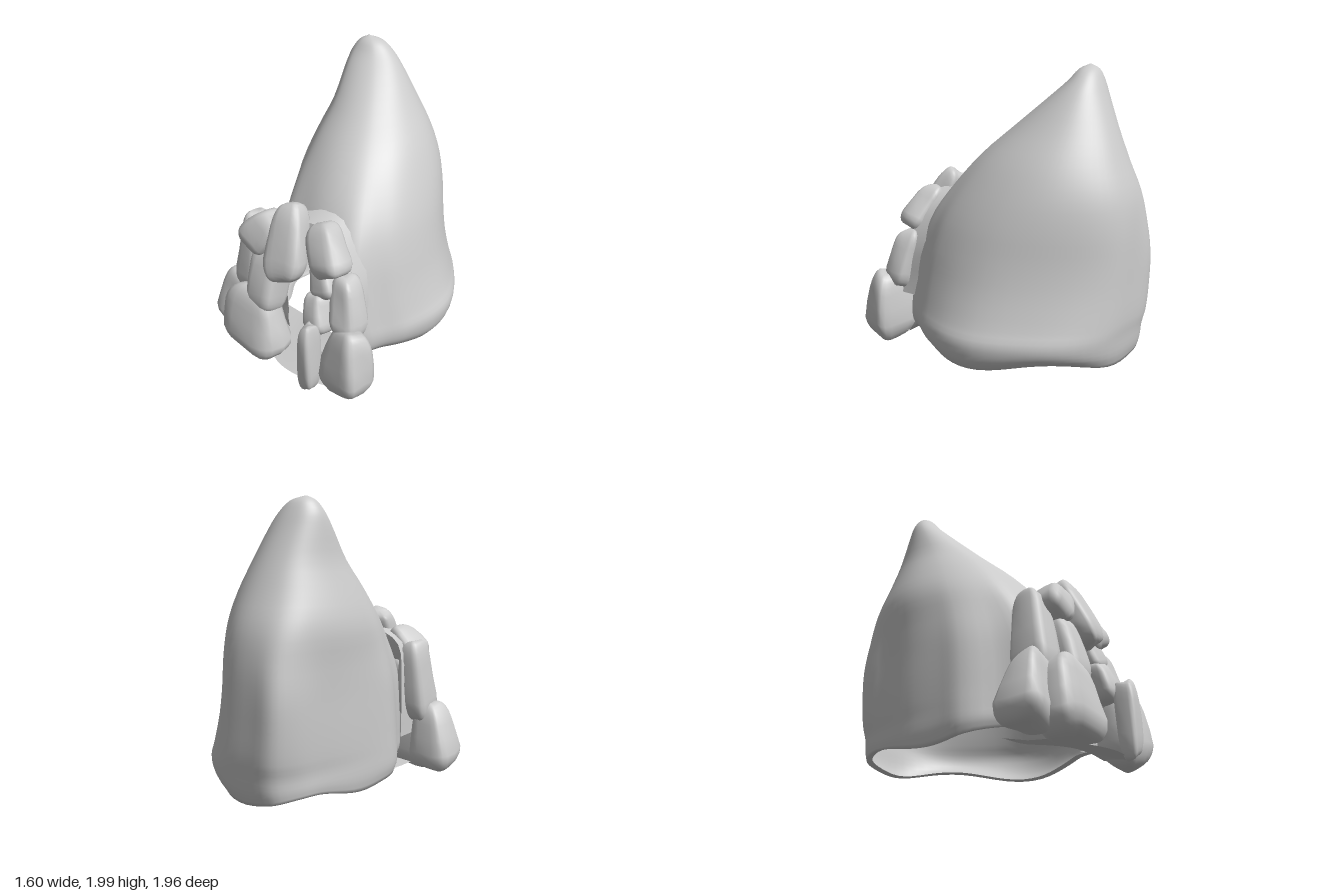
import * as THREE from 'three';
import { mergeVertices } from 'three/addons/utils/BufferGeometryUtils.js';

const stone = new THREE.MeshStandardMaterial({ color: 0xcccccc, side: THREE.DoubleSide });

function addMesh(group, name, geometry) {
  geometry.computeVertexNormals();
  const mesh = new THREE.Mesh(geometry, stone);
  mesh.name = name;
  group.add(mesh);
  return mesh;
}

// Smooth run of points through a few given ones
const path = (pts, n = 24, closed = false) =>
  new THREE.CatmullRomCurve3(pts.map(p => new THREE.Vector3(...p)), closed).getPoints(n);

// Surface through rows of points; keep(centre) decides which quads stay
function loft(rows, closed, keep = () => true) {
  const n = rows[0].length, index = [];
  for (let r = 0; r < rows.length - 1; r++) {
    for (let i = 0; i < (closed ? n : n - 1); i++) {
      const j = (i + 1) % n;
      const c = rows[r][i].clone().add(rows[r + 1][j]).multiplyScalar(0.5);
      if (!keep(c)) continue;
      const a = r * n + i, b = r * n + j;
      index.push(a, a + n, b, b, a + n, b + n);
    }
  }
  const g = new THREE.BufferGeometry().setFromPoints(rows.flat());
  g.setIndex(index);
  return g;
}

// Hollow leaning mound: plan outline fitted to the bounds of each level
function moundGeometry() {
  const plan = [[0, -0.98], [0.18, -0.95], [0.42, -0.87], [0.6, -0.68], [0.73, -0.42], [0.79, -0.1],
    [0.75, 0.15], [0.63, 0.36], [0.5, 0.48], [0.35, 0.62], [0.1, 0.57], [-0.15, 0.5], [-0.36, 0.41],
    [-0.4, 0.2], [-0.47, -0.05], [-0.43, -0.22], [-0.35, -0.45], [-0.22, -0.7], [-0.13, -0.88]];
  const outline = path(plan.map(([x, z]) => [(x - 0.16) / 0.63, 0, (z + 0.18) / 0.8]), 72, true).slice(0, 72);
  // y, min x, max x, min z, max z
  const levels = [[0.13, -0.45, 0.71, -0.92, 0.61], [0.2, -0.47, 0.77, -0.94, 0.62], [0.3, -0.47, 0.79, -0.95, 0.62],
    [0.4, -0.465, 0.75, -0.97, 0.625], [0.6, -0.455, 0.69, -0.98, 0.61], [0.8, -0.44, 0.65, -0.98, 0.57],
    [1, -0.41, 0.615, -0.96, 0.48], [1.2, -0.38, 0.56, -0.92, 0.34], [1.4, -0.31, 0.475, -0.84, 0.16],
    [1.6, -0.23, 0.35, -0.76, -0.07], [1.8, -0.19, 0.22, -0.68, -0.3], [1.9, -0.16, 0.14, -0.64, -0.41],
    [1.97, -0.11, 0.06, -0.6, -0.47], [2, -0.05, -0.04, -0.54, -0.53]];
  // smooth both bounds curves between the levels
  const low = new THREE.CatmullRomCurve3(levels.map(([y, x0, , z0]) => new THREE.Vector3(x0, y, z0)));
  const high = new THREE.CatmullRomCurve3(levels.map(([y, , x1, , z1]) => new THREE.Vector3(x1, y, z1)));
  const rows = low.getPoints(39).map((lo, k) => {
    const hi = high.getPoint(k / 39), y = hi.y;
    const t = 0.9 * THREE.MathUtils.smoothstep(y, 0.7, 1.4);
    return outline.map(p => {
      const q = p.clone().lerp(p.clone().normalize(), t);
      const a = Math.atan2(q.z, q.x);
      // shallow furrows, fading to the tip, and an uneven foot
      const f = 1 + 0.01 * Math.sin(a * 7 + y * 2) * (1 - y / 2);
      const drop = 0.035 * Math.sin(a * 4 - 2.5) * Math.max(0, 1 - (y - 0.13) / 0.15);
      return new THREE.Vector3((lo.x + hi.x) / 2 + q.x * f * (hi.x - lo.x) / 2, y + drop,
        (lo.z + hi.z) / 2 + q.z * f * (hi.z - lo.z) / 2);
    });
  });
  // narrow lip turned in under the foot
  rows.unshift(rows[0].map(p => new THREE.Vector3(0.16 + (p.x - 0.16) * 0.94, p.y + 0.01, -0.16 + (p.z + 0.16) * 0.95)));
  // leave the doorway open
  return loft(rows, true, c => !(c.z > 0.3 && c.x > -0.25 && c.x < 0.16 && c.y < 0.8));
}

// Lumpy blunt block, widest a little above its base
function rockGeometry(w, h, d, taper, seed) {
  const g = new THREE.SphereGeometry(1, 18, 14);
  const p = g.attributes.position;
  const box = (v, e) => Math.sign(v) * Math.abs(v) ** e;
  for (let i = 0; i < p.count; i++) {
    const x = box(p.getX(i), 0.52), y = box(p.getY(i), 0.55), z = box(p.getZ(i), 0.52);
    const lump = 1 + 0.06 * Math.sin(2.3 * x + 1.7 * y + seed * 2.1) + 0.05 * Math.sin(3.1 * z - 2.2 * y + seed);
    const s = (1 - taper * Math.abs(y + 0.5) * 0.5) * lump;
    p.setXYZ(i, x * s * w / 2, (y + 0.06 * Math.sin(3 * x + 2 * z + seed)) * h / 2, z * s * d / 2);
  }
  g.deleteAttribute('normal');
  g.deleteAttribute('uv');
  return mergeVertices(g, 1e-4);
}

export function createModel() {
  const model = new THREE.Group();
  addMesh(model, 'mound', moundGeometry());

  // Collar joining the mound to the stone arch
  const front = path([[-0.48, 0.32, 0.42], [-0.48, 0.65, 0.46], [-0.37, 0.98, 0.49], [-0.12, 1.09, 0.54],
    [0.16, 1.06, 0.57], [0.31, 0.78, 0.64], [0.38, 0.4, 0.68]]);
  const back = path([[-0.41, 0.3, 0.28], [-0.41, 0.65, 0.28], [-0.38, 0.98, 0.28], [-0.12, 1.08, 0.4],
    [0.17, 1.1, 0.33], [0.36, 0.78, 0.5], [0.4, 0.4, 0.56]]);
  addMesh(model, 'archCollar', loft([front, back], false));

  // name, centre, size, taper, tilt about x, y, z
  const stones = [
    ['lowerLeftStone', [-0.415, 0.28, 0.62], [0.55, 0.52, 0.32], 0.5, [-0.08, -0.3, 0]],
    ['outerLeftStone', [-0.61, 0.29, 0.44], [0.34, 0.49, 0.32], 0.5, [0, -0.3, -0.12]],
    ['sideLeftStone', [-0.48, 0.69, 0.43], [0.23, 0.6, 0.27], 0.25, [-0.1, -0.3, -0.08]],
    ['middleLeftStone', [-0.31, 0.62, 0.58], [0.25, 0.48, 0.22], -0.05, [-0.25, -0.3, -0.12]],
    ['upperLeftStone', [-0.35, 0.94, 0.53], [0.25, 0.31, 0.24], 0.25, [-0.3, -0.3, -0.65]],
    ['keyStone', [-0.14, 0.96, 0.62], [0.28, 0.52, 0.2], 0.3, [-0.42, -0.15, 0.03]],
    ['upperRightStone', [0.14, 0.96, 0.61], [0.27, 0.36, 0.23], 0.35, [-0.35, -0.35, 0.4]],
    ['middleRightStone', [0.31, 0.63, 0.69], [0.21, 0.42, 0.23], 0.35, [-0.2, -0.3, 0.18]],
    ['innerUpperRightStone', [0.13, 0.75, 0.64], [0.2, 0.22, 0.18], 0.2, [-0.2, -0.3, 0.3]],
    ['innerRightStone', [0.12, 0.55, 0.71], [0.19, 0.27, 0.2], 0.3, [-0.1, -0.4, 0.2]],
    ['lowerRightStone', [0.355, 0.29, 0.8], [0.35, 0.51, 0.28], 0.45, [-0.04, -0.5, 0]],
    ['doorPostStone', [0.11, 0.29, 0.87], [0.12, 0.52, 0.15], 0.1, [-0.03, -0.3, 0]],
  ];
  stones.forEach(([name, at, size, taper, tilt], i) => {
    const mesh = addMesh(model, name, rockGeometry(...size, taper, i + 1));
    mesh.position.set(...at);
    mesh.rotation.set(...tilt);
  });

  // Curved sill across the foot of the doorway
  const sillFront = path([[0.3, 0.05, 0.84], [0.03, 0.05, 0.83], [-0.2, 0.04, 0.74], [-0.42, 0.05, 0.5]]);
  const sillStep = path([[0.36, 0.1, 0.65], [0, 0.08, 0.6], [-0.22, 0.07, 0.5], [-0.4, 0.06, 0.36]]);
  const sillBack = path([[0.36, 0.18, 0.6], [0.06, 0.15, 0.43], [-0.2, 0.1, 0.28], [-0.4, 0.09, 0.2]]);
  addMesh(model, 'threshold', loft([sillFront, sillStep, sillBack], false));
  return model;
}
